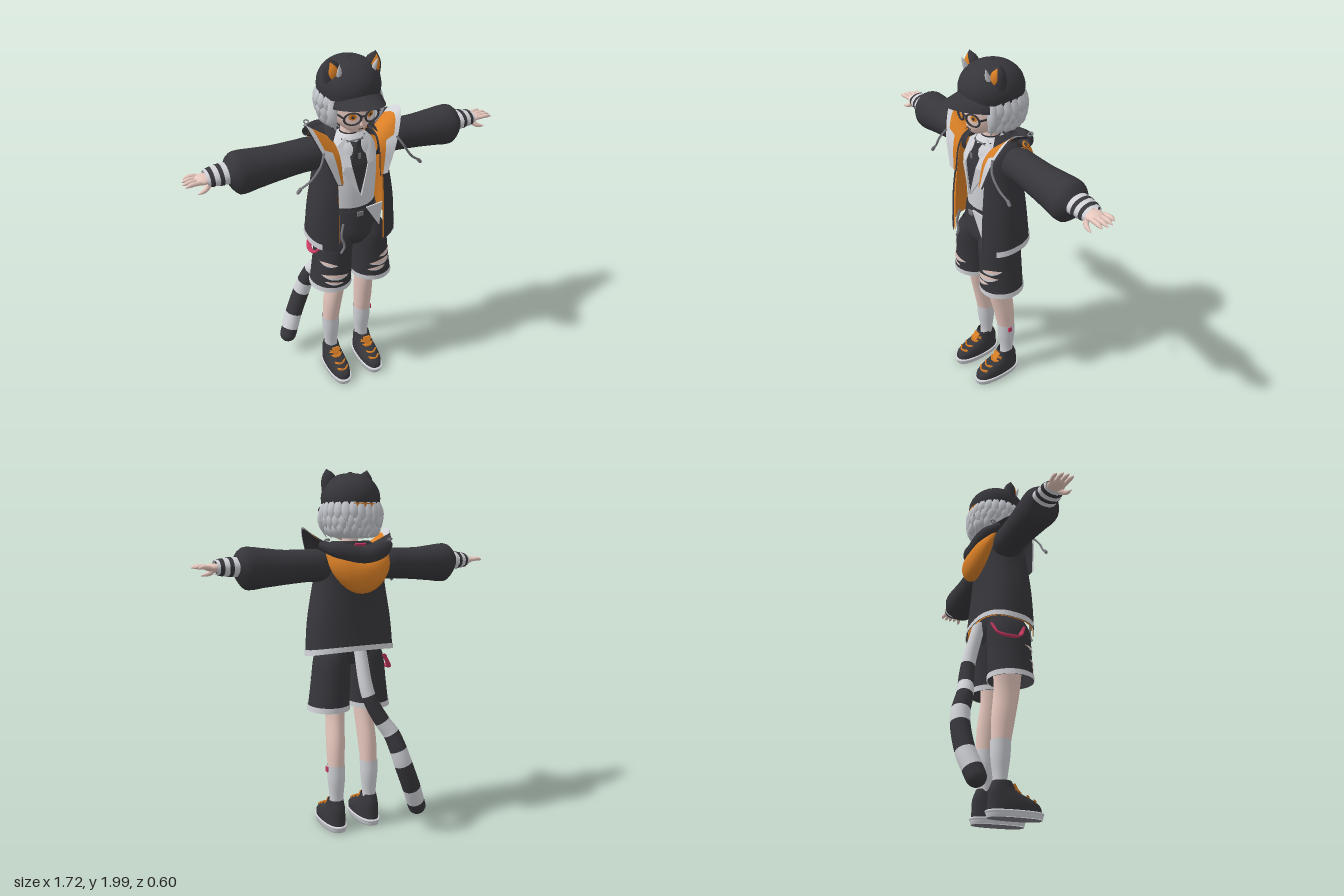
import * as THREE from 'three';
import { mergeVertices } from 'three/addons/utils/BufferGeometryUtils.js';

const paint = (name, color) => new THREE.MeshStandardMaterial({ name, color, side: THREE.DoubleSide });
const black = paint('black cloth', 0x37363b), white = paint('light cloth', 0xcfd1d6);
const orange = paint('orange', 0xd97f26), skin = paint('skin', 0xe8c9bf), silver = paint('silver hair', 0xc3c6cc);
const pink = paint('pink', 0xc93a62), grey = paint('grey', 0x7b7c82);
const PI = Math.PI, TAU = PI * 2, V = (p) => new THREE.Vector3(...p);
const clamp = THREE.MathUtils.clamp, lerp = THREE.MathUtils.lerp;
let seed = 7;
const rnd = () => (seed = (seed * 16807) % 2147483647) / 2147483647;

function add(parent, name, geo, mat, pos = [0, 0, 0], rot = [0, 0, 0], scale = [1, 1, 1]) {
  const m = new THREE.Mesh(geo, mat);
  m.name = name;
  m.position.set(...pos); m.rotation.set(...rot); m.scale.set(...scale);
  parent.add(m);
  return m;
}
// Smooth grid over fn(u, v)
function surf(fn, nu, nv) {
  const pos = [], idx = [];
  for (let j = 0; j <= nv; j++) for (let i = 0; i <= nu; i++) pos.push(...fn(i / nu, j / nv));
  for (let j = 0; j < nv; j++) for (let i = 0; i < nu; i++) {
    const a = j * (nu + 1) + i, b = a + nu + 1;
    idx.push(a, a + 1, b + 1, a, b + 1, b);
  }
  let g = new THREE.BufferGeometry();
  g.setAttribute('position', new THREE.Float32BufferAttribute(pos, 3));
  g.setIndex(idx);
  g = mergeVertices(g, 1e-4);
  g.computeVertexNormals();
  return g;
}
// Smooth interpolation of cross-section rows by their first column
function at(keys, s) {
  let i = 0;
  while (i < keys.length - 2 && s > keys[i + 1][0]) i++;
  const A = keys[i], B = keys[i + 1], h = B[0] - A[0], t = clamp((s - A[0]) / h, 0, 1);
  const slope = (j, c) => {
    const p = keys[Math.max(j - 1, 0)], q = keys[Math.min(j + 1, keys.length - 1)];
    return (q[c] - p[c]) / (q[0] - p[0]) * h;
  };
  return A.map((_, c) => A[c] * (1 + 2 * t) * (1 - t) ** 2 + slope(i, c) * t * (1 - t) ** 2
    + B[c] * t * t * (3 - 2 * t) + slope(i + 1, c) * t * t * (t - 1));
}
// Point on a ring: rows are [y, cx, cz, rx, rz], or [x, cy, cz, ry, rz] along x
function ring(k, a, { axis = 'y', p = 1, off = 0 } = {}) {
  const f = (w) => Math.sign(w) * Math.abs(w) ** p, s = f(Math.sin(a)), c = f(Math.cos(a));
  return axis === 'y' ? [k[1] + (k[3] + off) * s, k[0], k[2] + (k[4] + off) * c]
    : [k[0], k[1] + (k[3] + off) * c, k[2] + (k[4] + off) * s];
}
function loft(parent, name, mat, keys, o = {}) {
  const from = o.from ?? keys[0][0], to = o.to ?? keys.at(-1)[0];
  return add(parent, name, surf((u, v) => {
    const k = at(keys, lerp(from, to, v)), gap = (k[5] ?? 0) + (o.gap ?? 0);
    const a = lerp(gap, TAU - gap, u), q = ring(k, a, o);
    return o.warp ? o.warp(q, a) : q;
  }, o.n ?? 32, o.m ?? 16), mat);
}
// Tapering tube along a curve
function limb(parent, name, mat, pts, radii, { u0 = 0, u1 = 1, flat = 1, n = 12, m = 12, ref = [0, 0, 1] } = {}) {
  const curve = new THREE.CatmullRomCurve3(pts.map(V)), R = V(ref);
  const rk = radii.map((r, i) => [i / (radii.length - 1), r]);
  return add(parent, name, surf((u, v) => {
    const t = lerp(u0, u1, v), T = curve.getTangent(t), N = T.clone().cross(R).normalize(), B = T.clone().cross(N);
    const r = Math.max(at(rk, t)[1], 0), a = u * TAU;
    return curve.getPoint(t).addScaledVector(N, r * Math.cos(a)).addScaledVector(B, r * flat * Math.sin(a)).toArray();
  }, n, m), mat);
}
// Thin cut-out bent over a front surface z(x, y)
function plate(parent, name, mat, pts, z) {
  const g = new THREE.ExtrudeGeometry(new THREE.Shape(pts.map((p) => new THREE.Vector2(...p))), { depth: 0.008, bevelEnabled: false });
  const P = g.attributes.position;
  for (let i = 0; i < P.count; i++) P.setZ(i, P.getZ(i) + z(P.getX(i), P.getY(i)));
  g.computeVertexNormals();
  return add(parent, name, g, mat);
}
function group(parent, name, mirror = 1) {
  const g = new THREE.Group();
  g.name = name; g.scale.x = mirror; parent.add(g);
  return g;
}

function buildHead(root) {
  const head = group(root, 'head');
  loft(head, 'face', skin, [[1.615, 0, 0.1, 0, 0], [1.625, 0, 0.095, 0.035, 0.045], [1.66, 0, 0.06, 0.08, 0.1],
    [1.7, 0, 0.045, 0.104, 0.12], [1.76, 0, 0.04, 0.115, 0.125], [1.86, 0, 0.03, 0.11, 0.12]]);
  add(head, 'nose', new THREE.ConeGeometry(0.009, 0.03, 8), skin, [0, 1.69, 0.166]);
  add(head, 'mouth', new THREE.BoxGeometry(0.025, 0.004, 0.006), black, [0, 1.652, 0.157]);
  add(head, 'neck', new THREE.CylinderGeometry(0.042, 0.048, 0.12, 20), skin, [0, 1.6, 0.03]);
  add(head, 'choker', new THREE.CylinderGeometry(0.047, 0.052, 0.04, 20), black, [0, 1.575, 0.03]);
  // Hair shell and locks
  const shell = [[1.635, 0, 0.01, 0.085, 0.1], [1.68, 0, 0, 0.12, 0.12], [1.76, 0, 0.01, 0.138, 0.138], [1.85, 0, 0.02, 0.138, 0.145]];
  loft(head, 'hairShell', silver, shell, { gap: 0.95 });
  for (let row = 0; row < 3; row++) for (let i = 0; i < 17; i++) {
    const a = lerp(0.85, TAU - 0.85, (i + (row % 2) * 0.5) / 17), y = 1.815 - row * 0.045, b = a + (rnd() - 0.5) * 0.3;
    const drop = 0.085 + rnd() * 0.03, flare = 0.012 + rnd() * 0.022;
    limb(head, 'hairLock', silver, [ring(at(shell, y), a), ring(at(shell, y - drop * 0.5), a, { off: 0.016 }),
      ring(at(shell, y - drop), b, { off: flare })], [0.024, 0.026, 0], { n: 6, m: 5, flat: 0.7, ref: [Math.sin(a), 0.01, Math.cos(a)] });
  }
  for (let i = 0; i < 9; i++) {
    const x = (i - 4) * 0.026, z = 0.17 - x * x * 5;
    limb(head, 'fringeLock', silver, [[x, 1.83, z - 0.015], [x + 0.004, 1.79, z + 0.004], [x + (rnd() - 0.5) * 0.03, 1.735 + rnd() * 0.02, z + 0.002]],
      [0.018, 0.016, 0], { n: 6, m: 5, flat: 0.5 });
  }
  // Cap with brim and strap
  const cap = group(root, 'cap');
  const dome = [[1.79, 0, 0.025, 0.15, 0.163], [1.85, 0, 0.025, 0.155, 0.167], [1.9, 0, 0.025, 0.139, 0.15],
    [1.94, 0, 0.025, 0.104, 0.112], [1.965, 0, 0.025, 0.055, 0.06], [1.973, 0, 0.025, 0, 0]];
  loft(cap, 'dome', black, dome, { m: 24 });
  add(cap, 'button', new THREE.SphereGeometry(0.012, 10, 8), black, [0, 1.972, 0.025], [0, 0, 0], [1, 0.5, 1]);
  add(cap, 'brim', surf((u, v) => {
    const a = lerp(-1.25, 1.25, u), s = Math.sin(a);
    return [0.152 * s, 1.835 - 0.025 * v - 0.055 * s * s, 0.025 + 0.163 * Math.cos(a) + 0.115 * v * Math.cos(a * 1.25)];
  }, 24, 6), black);
  loft(cap, 'strap', orange, dome, { from: 1.793, to: 1.815, gap: 2.75, off: 0.005, n: 8, m: 2 });
  for (const s of [1, -1]) {
    const side = group(head, s > 0 ? 'leftFace' : 'rightFace', s);
    add(side, 'eye', new THREE.CircleGeometry(0.02, 16), orange, [0.047, 1.723, 0.163], [0, 0.3, 0], [1, 0.8, 1]);
    add(side, 'pupil', new THREE.CircleGeometry(0.008, 12), black, [0.047, 1.722, 0.166], [0, 0.3, 0]);
    add(side, 'glassesRim', new THREE.TorusGeometry(0.04, 0.0055, 6, 24), black, [0.052, 1.718, 0.172], [0, 0.25, 0], [1.05, 0.75, 1]);
    add(side, 'glassesArm', new THREE.BoxGeometry(0.006, 0.008, 0.14), black, [0.107, 1.73, 0.095], [0, -0.12, 0]);
    limb(side, 'sideLock', silver, [[0.115, 1.8, 0.1], [0.128, 1.72, 0.11], [0.105, 1.635, 0.105]], [0.026, 0.026, 0], { n: 6, m: 6 });
    const ear = group(cap, s > 0 ? 'leftEar' : 'rightEar', s);
    limb(ear, 'ear', black, [[0.1, 1.88, 0.06], [0.11, 1.945, 0.063], [0.122, 1.992, 0.066]], [0.048, 0.045, 0.032, 0], { flat: 0.8 });
    limb(ear, 'innerEar', orange, [[0.102, 1.9, 0.083], [0.111, 1.94, 0.083], [0.121, 1.978, 0.078]], [0.026, 0.028, 0.02, 0], { flat: 0.7 });
    limb(ear, 'earTuft', silver, [[0.09, 1.9, 0.1], [0.092, 1.94, 0.115], [0.1, 1.98, 0.13]], [0.014, 0.012, 0], { n: 6, m: 5 });
  }
  add(head, 'glassesBridge', new THREE.BoxGeometry(0.024, 0.007, 0.006), black, [0, 1.726, 0.18]);
}

function buildTorso(root) {
  const shirt = [[1.16, 0, 0.035, 0.135, 0.11], [1.35, 0, 0.035, 0.145, 0.115], [1.5, 0, 0.03, 0.14, 0.105], [1.56, 0, 0.03, 0.1, 0.08], [1.59, 0, 0.03, 0.05, 0.05]];
  const front = (gap) => (x, y) => {
    const k = at(shirt, y);
    return k[2] + k[4] * Math.sqrt(Math.max(0.15, 1 - (x / k[3]) ** 2)) + gap;
  };
  const torso = group(root, 'torso');
  loft(torso, 'shirt', white, shirt);
  plate(torso, 'innerTop', black, [[-0.065, 1.575], [-0.05, 1.45], [0, 1.29], [0.05, 1.45], [0.065, 1.575], [0, 1.56]], front(0.004));
  add(torso, 'necklace', new THREE.TorusGeometry(0.055, 0.004, 6, 24), grey, [0, 1.545, 0.07], [1.0, 0, 0]);
  add(torso, 'pendant', new THREE.BoxGeometry(0.012, 0.03, 0.006), grey, [0, 1.5, 0.15]);
  plate(torso, 'shirtTail', white, [[0.03, 1.2], [0.11, 1.07], [0.125, 1.21]], () => 0.165);
  // Open jacket with orange lining; last column is the front opening angle
  const jacket = [[1.01, 0, 0.04, 0.25, 0.16, 0.48], [1.2, 0, 0.045, 0.235, 0.15, 0.5], [1.4, 0, 0.045, 0.2, 0.137, 0.6],
    [1.5, 0, 0.038, 0.19, 0.128, 0.62], [1.57, 0, 0.03, 0.175, 0.11, 0.75], [1.62, 0, 0.02, 0.1, 0.075, 1]];
  const warp = (q, a) => [q[0], q[1] - 0.035 * Math.cos(a) * clamp(1 - (q[1] - 1.01) / 0.25, 0, 1), q[2]];
  loft(torso, 'jacketBody', black, jacket, { p: 0.8, warp, n: 48 });
  loft(torso, 'jacketLining', orange, jacket, { p: 0.8, warp, n: 48, off: -0.008, to: 1.5 });
  loft(torso, 'jacketHem', white, jacket, { p: 0.8, warp, n: 48, m: 2, off: 0.004, from: 1.008, to: 1.042, gap: 0.45 });
  // Hood hanging behind
  limb(torso, 'hoodBag', orange, [[-0.18, 1.58, -0.05], [-0.11, 1.49, -0.1], [0, 1.435, -0.115], [0.11, 1.49, -0.1], [0.18, 1.58, -0.05]],
    [0.01, 0.065, 0.088, 0.065, 0.01], { n: 20, m: 24, flat: 0.62 });
  limb(torso, 'hoodTop', black, [[-0.21, 1.6, -0.03], [-0.12, 1.57, -0.09], [0, 1.54, -0.1], [0.12, 1.57, -0.09], [0.21, 1.6, -0.03]],
    [0.02, 0.045, 0.055, 0.045, 0.02], { n: 16, m: 24 });
  add(torso, 'neckTag', new THREE.BoxGeometry(0.06, 0.02, 0.008), pink, [0, 1.602, -0.085], [-0.8, 0, 0]);
  // Flared collar between two edge curves
  const inner = new THREE.CatmullRomCurve3([[0, 1.6, -0.05], [0.09, 1.61, -0.02], [0.115, 1.59, 0.05], [0.115, 1.57, 0.115], [0.11, 1.52, 0.155], [0.105, 1.38, 0.182]].map(V));
  const outer = new THREE.CatmullRomCurve3([[0, 1.58, -0.13], [0.17, 1.6, -0.085], [0.23, 1.655, 0], [0.255, 1.69, 0.09], [0.205, 1.56, 0.165], [0.14, 1.39, 0.192]].map(V));
  const collar = (g, name, mat, t0, t1, v0, v1, d) => add(g, name, surf((u, v) => {
    const t = lerp(t0, t1, u), q = inner.getPoint(t).lerp(outer.getPoint(t), lerp(v0, v1, v));
    return [q.x, q.y - d, q.z - d];
  }, 24, 4), mat);
  const sleeve = [[0.13, 1.49, 0.02, 0.07, 0.075], [0.2, 1.495, 0.01, 0.085, 0.085], [0.27, 1.495, 0.01, 0.085, 0.085], [0.4, 1.49, 0.012, 0.09, 0.09],
    [0.5, 1.49, 0.016, 0.1, 0.096], [0.595, 1.49, 0.02, 0.108, 0.1], [0.625, 1.497, 0.02, 0.086, 0.085], [0.645, 1.5, 0.018, 0.052, 0.066]];
  const cuff = [[0.63, 1.5, 0.015, 0.05, 0.068], [0.7, 1.5, 0.018, 0.045, 0.062], [0.75, 1.5, 0.02, 0.035, 0.052]];
  for (const s of [1, -1]) {
    const side = group(torso, s > 0 ? 'leftSide' : 'rightSide', s);
    plate(side, 'lapel', white, [[0.045, 1.585], [0.095, 1.55], [0.108, 1.46], [0.08, 1.45], [0.09, 1.42], [0.004, 1.28], [0.045, 1.45]], front(0.012));
    collar(side, 'collarOutside', black, 0, 1, 0, 1, 0.009);
    collar(side, 'collarBack', black, 0, 0.42, 0, 1, 0);
    collar(side, 'collarLining', orange, 0.42, 0.76, 0, 0.75, 0);
    collar(side, 'collarEdge', white, 0.42, 0.76, 0.75, 1, 0);
    collar(side, 'collarStripe', orange, 0.76, 1, 0, 0.35, 0);
    collar(side, 'collarFront', white, 0.76, 1, 0.35, 1, 0);
    limb(side, 'drawstring', grey, [[0.2, 1.57, 0.165], [0.23, 1.52, 0.19], [0.28, 1.45, 0.185], [0.33, 1.41, 0.172]], [0.006, 0.006], { n: 6 });
    add(side, 'drawstringTip', new THREE.CapsuleGeometry(0.009, 0.02, 4, 8), grey, [0.338, 1.4, 0.17], [0, 0, 0.7]);
    add(side, 'eyelet', new THREE.TorusGeometry(0.012, 0.004, 6, 14), grey, [0.185, 1.628, -0.075], [-1.1, 0, 0]);
    const arm = group(side, 'arm');
    loft(arm, 'sleeve', black, sleeve, { axis: 'x', m: 32 });
    [0.63, 0.67, 0.69, 0.715, 0.735, 0.75].forEach((x, i, all) => i && loft(arm, 'cuffBand', i % 2 ? white : black, cuff,
      { axis: 'x', from: all[i - 1], to: x, m: 2, off: i % 2 ? 0 : 0.002 }));
    // Hand
    add(arm, 'palm', new THREE.SphereGeometry(1, 20, 14), skin, [0.758, 1.5, 0.022], [0, 0, 0], [0.048, 0.02, 0.046]);
    [0.066, 0.072, 0.068, 0.052].forEach((len, i) => {
      const z = 0.057 - i * 0.025;
      limb(arm, 'finger', skin, [[0.775, 1.502, z], [0.79 + len / 2, 1.506, z * 1.1], [0.79 + len, 1.5, z * 1.15]], [0.011, 0.011, 0.01, 0.002], { n: 8, m: 8 });
    });
    limb(arm, 'thumb', skin, [[0.735, 1.49, 0.05], [0.765, 1.467, 0.07], [0.805, 1.457, 0.078]], [0.015, 0.013, 0.01, 0.002], { n: 8, m: 8 });
  }
}

function buildLegs(root) {
  const hips = group(root, 'shorts');
  loft(hips, 'shortsHips', black, [[0.96, 0, 0.045, 0.1, 0.09], [1.02, 0, 0.045, 0.165, 0.12], [1.1, 0, 0.04, 0.155, 0.122], [1.2, 0, 0.035, 0.138, 0.114]]);
  add(hips, 'belt', new THREE.CylinderGeometry(0.142, 0.146, 0.03, 32), black, [0, 1.165, 0.037], [0, 0, 0], [1, 1, 0.84]);
  add(hips, 'buckle', new THREE.BoxGeometry(0.035, 0.025, 0.008), grey, [0, 1.165, 0.162]);
  limb(hips, 'chain', grey, [[-0.1, 1.13, 0.165], [-0.115, 1.06, 0.175], [-0.1, 1.0, 0.18], [-0.12, 0.96, 0.18]], [0.007, 0.007], { n: 6 });
  limb(hips, 'pinkStrap', pink, [[-0.16, 1.0, -0.07], [-0.2, 0.935, -0.05], [-0.225, 0.915, 0], [-0.22, 0.925, 0.06], [-0.18, 1.0, 0.1]],
    [0.014, 0.014], { n: 8, m: 20, flat: 0.5, ref: [0, 1, 0.1] });
  const shorts = [[0.7, 0.125, 0.05, 0.115, 0.122], [0.85, 0.113, 0.05, 0.106, 0.121], [1.0, 0.1, 0.05, 0.096, 0.12], [1.07, 0.085, 0.045, 0.075, 0.1]];
  const leg = [[0.36, 0.104, 0, 0.046, 0.049], [0.5, 0.1, 0.016, 0.05, 0.063], [0.68, 0.09, 0.043, 0.05, 0.073], [0.9, 0.095, 0.045, 0.07, 0.09]];
  const sock = [[0.12, 0.104, -0.005, 0.04, 0.036], [0.19, 0.104, -0.004, 0.04, 0.036], [0.3, 0.104, -0.002, 0.049, 0.05], [0.385, 0.104, 0.001, 0.051, 0.053]];
  const upper = [[0.03, 0, 0.072, 0.058, 0.143], [0.07, 0, 0.068, 0.058, 0.136], [0.1, 0, 0.045, 0.053, 0.112], [0.13, 0, 0.012, 0.047, 0.076], [0.18, 0, 0.004, 0.04, 0.048]];
  // Rips: angle from, angle to, height, half thickness
  const rips = { 1: [[0, 1.1, 0.865, 0.012], [-0.5, 0.9, 0.82, 0.015], [-0.6, 0.4, 0.78, 0.01]],
    '-1': [[0.2, 1.2, 0.88, 0.01], [-0.5, 1.0, 0.8, 0.014], [-0.2, 0.8, 0.76, 0.008]] };
  for (const s of [1, -1]) {
    const side = group(root, s > 0 ? 'leftLeg' : 'rightLeg', s);
    loft(side, 'shortsLeg', black, shorts);
    loft(side, 'shortsHem', white, shorts, { from: 0.699, to: 0.73, off: 0.004, m: 2 });
    for (const [a0, a1, y, h] of rips[s]) {
      [[skin, 0.003, 0, h], [white, 0.005, -h, h * 0.45]].forEach(([mat, off, dy, hh]) => add(side, 'rip', surf((u, v) => {
        const w = Math.sin(u * PI);
        return ring(at(shorts, y + dy * w + (v * 2 - 1) * hh * w + 0.012 * (u - 0.5)), lerp(a0, a1, u), { off });
      }, 14, 2), mat));
    }
    loft(side, 'leg', skin, leg);
    loft(side, 'sock', white, sock);
    if (s > 0) loft(side, 'sockTab', pink, sock, { from: 0.35, to: 0.38, gap: PI - 0.25, off: 0.004, n: 6, m: 2 }).rotation.y = 0;
    // Shoe
    const shoe = group(side, 'shoe');
    shoe.position.x = 0.106;
    const sole = [[0.004, 0, 0.072, 0.057, 0.143], [0.02, 0, 0.072, 0.061, 0.148], [0.038, 0, 0.072, 0.06, 0.146], [0.04, 0, 0.072, 0.03, 0.1]];
    loft(shoe, 'sole', white, sole, { p: 0.8, m: 12 });
    add(shoe, 'outsole', surf((u, v) => ring([0.001 + 0.004 * Math.min(v, 0.5), 0, 0.072, 0.057 * (1 - v), 0.143 * (1 - v)], -u * TAU, { p: 0.8 }), 32, 2), grey);
    loft(shoe, 'shoeUpper', black, upper, { p: 0.85 });
    plate(shoe, 'tongue', orange, [[-0.02, 0.12], [0.02, 0.12], [0.022, 0.17], [-0.022, 0.17]], (x, y) => 0.09 - (y - 0.12) * 0.6);
    for (let i = 0; i < 4; i++) {
      const y = 0.088 + i * 0.018, z = at(upper, y)[2] + at(upper, y)[4];
      for (const d of [1, -1]) limb(shoe, 'lace', orange, [[-0.034, y - d * 0.007, z - 0.018], [0, y + 0.004, z + 0.004], [0.034, y + d * 0.007, z - 0.018]],
        [0.005, 0.005], { n: 6, m: 6, ref: [0, 1, 0] });
    }
  }
  // Small tab on the outer left sock
  root.getObjectByName('sockTab').removeFromParent();
  add(root, 'sockTab', new THREE.BoxGeometry(0.008, 0.03, 0.024), pink, [0.156, 0.362, 0.008]);
}

function buildTail(root) {
  const tail = group(root, 'tail');
  const pts = [[0, 1.06, -0.08], [-0.02, 0.8, -0.15], [-0.085, 0.66, -0.185], [-0.13, 0.59, -0.205], [-0.16, 0.5, -0.235],
    [-0.185, 0.42, -0.246], [-0.245, 0.27, -0.24], [-0.285, 0.18, -0.218], [-0.303, 0.14, -0.208]];
  const radii = [0.034, 0.038, 0.042, 0.045, 0.048, 0.05, 0.051, 0.051, 0.05];
  for (let i = 0; i < 8; i++) limb(tail, 'tailBand', i % 2 ? black : white, pts, radii, { u0: i / 8, u1: (i + 1) / 8, n: 20, m: 8 });
  add(tail, 'tailTip', new THREE.SphereGeometry(0.05, 20, 14), black, pts[8]);
}

export function createModel() {
  const root = new THREE.Group();
  root.name = 'figure';
  seed = 7;
  buildHead(root);
  buildTorso(root);
  buildLegs(root);
  buildTail(root);
  return root;
}
